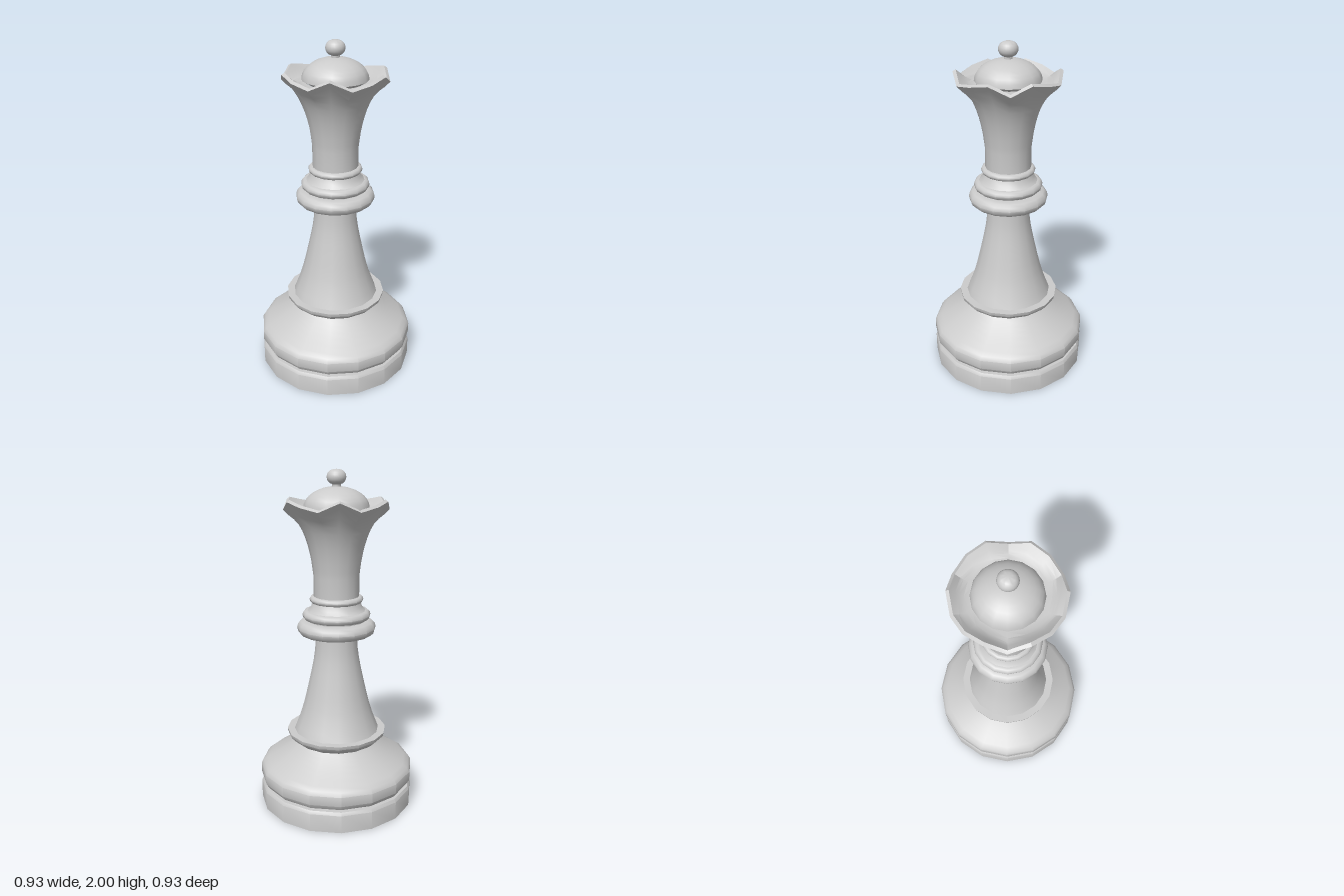
import * as THREE from 'three';
import { toCreasedNormals } from 'three/addons/utils/BufferGeometryUtils.js';

const SIDES = 16;
const CREASE = 0.62;
const material = new THREE.MeshStandardMaterial({ color: 0xcccccc });

// Turned part: profile of [radius, height] pairs from bottom to top
function turned(name, profile, deform, sides = SIDES) {
  const points = profile.map(([r, y]) => new THREE.Vector2(r, y));
  let geometry = new THREE.LatheGeometry(points, sides);
  if (deform) deform(geometry.attributes.position);
  geometry = toCreasedNormals(geometry, CREASE);
  const mesh = new THREE.Mesh(geometry, material);
  mesh.name = name;
  return mesh;
}

// Smooth curve through a few profile points
function smooth(points, divisions) {
  const curve = new THREE.SplineCurve(points.map(([r, y]) => new THREE.Vector2(r, y)));
  return curve.getPoints(divisions).map((p) => [p.x, p.y]);
}

// Ring with a rounded rim, between two heights
function ring(name, radius, inner, bottom, top) {
  const half = (top - bottom) / 2, mid = (top + bottom) / 2;
  const profile = [[inner, bottom]];
  for (let i = 0; i <= 6; i++) {
    const a = -Math.PI / 2 + (i / 6) * Math.PI;
    profile.push([radius - half + half * Math.cos(a), mid + half * Math.sin(a)]);
  }
  profile.push([inner, top]);
  return turned(name, profile);
}

// Six waves around the crown, growing towards the rim
function scallop(position) {
  for (let i = 0; i < position.count; i++) {
    const x = position.getX(i), z = position.getZ(i);
    const weight = THREE.MathUtils.smoothstep(Math.hypot(x, z), 0.19, 0.29);
    position.setY(i, position.getY(i) + 0.03 * weight * Math.sin(6 * Math.atan2(z, x)));
  }
}

export function createModel() {
  const model = new THREE.Group();
  model.name = 'chessPiece';

  // Foot with a groove above it
  model.add(turned('foot', [
    [0, 0], [0.467, 0], [0.467, 0.108], [0.455, 0.125], [0.41, 0.125], [0.41, 0.145],
  ]));

  // Wide sloping base
  model.add(turned('base', [
    [0.4, 0.138], [0.448, 0.138], [0.467, 0.168], [0.467, 0.225], [0.452, 0.248],
    ...smooth([[0.425, 0.265], [0.35, 0.312], [0.29, 0.355], [0.245, 0.392]], 6),
  ]));

  // Flared collar on the base
  model.add(turned('baseCollar', [
    [0.245, 0.39], [0.272, 0.41], [0.297, 0.437], [0.3, 0.457], [0.24, 0.457],
  ]));

  // Tapered stem
  model.add(turned('stem', smooth([
    [0.257, 0.455], [0.207, 0.59], [0.165, 0.76], [0.131, 0.93], [0.122, 1.06],
  ], 10)));

  // Stacked neck rings
  model.add(ring('lowerNeckRing', 0.232, 0.11, 1.055, 1.14));
  model.add(turned('neckCore', [[0.17, 1.13], [0.17, 1.2], [0.15, 1.22], [0.137, 1.26]]));
  model.add(ring('middleNeckRing', 0.2, 0.13, 1.147, 1.2));
  model.add(ring('upperNeckRing', 0.157, 0.12, 1.247, 1.285));

  // Flaring crown, scalloped rim and shallow bowl
  model.add(turned('crown', [
    [0.133, 1.25],
    ...smooth([
      [0.133, 1.4], [0.148, 1.51], [0.177, 1.62], [0.225, 1.72], [0.3, 1.809],
    ], 10),
    [0.283, 1.82],
    ...smooth([[0.255, 1.797], [0.215, 1.775], [0.16, 1.77]], 4),
  ], scallop));

  // Dome inside the crown
  const dome = [[0.15, 1.765]];
  for (let i = 0; i <= 8; i++) {
    const a = (i / 8) * Math.PI / 2;
    dome.push([0.187 * Math.cos(a), 1.788 + 0.119 * Math.sin(a)]);
  }
  model.add(turned('dome', dome));

  // Finial bead on a short neck
  model.add(turned('finialNeck', [[0.024, 1.895], [0.024, 1.925]]));
  const bead = [];
  for (let i = 0; i <= 10; i++) {
    const a = -Math.PI / 2 + (i / 10) * Math.PI;
    bead.push([0.055 * Math.pow(Math.max(Math.cos(a), 0), 0.8), 1.957 + 0.043 * Math.sin(a)]);
  }
  model.add(turned('finialBead', bead, null, 24));

  return model;
}
